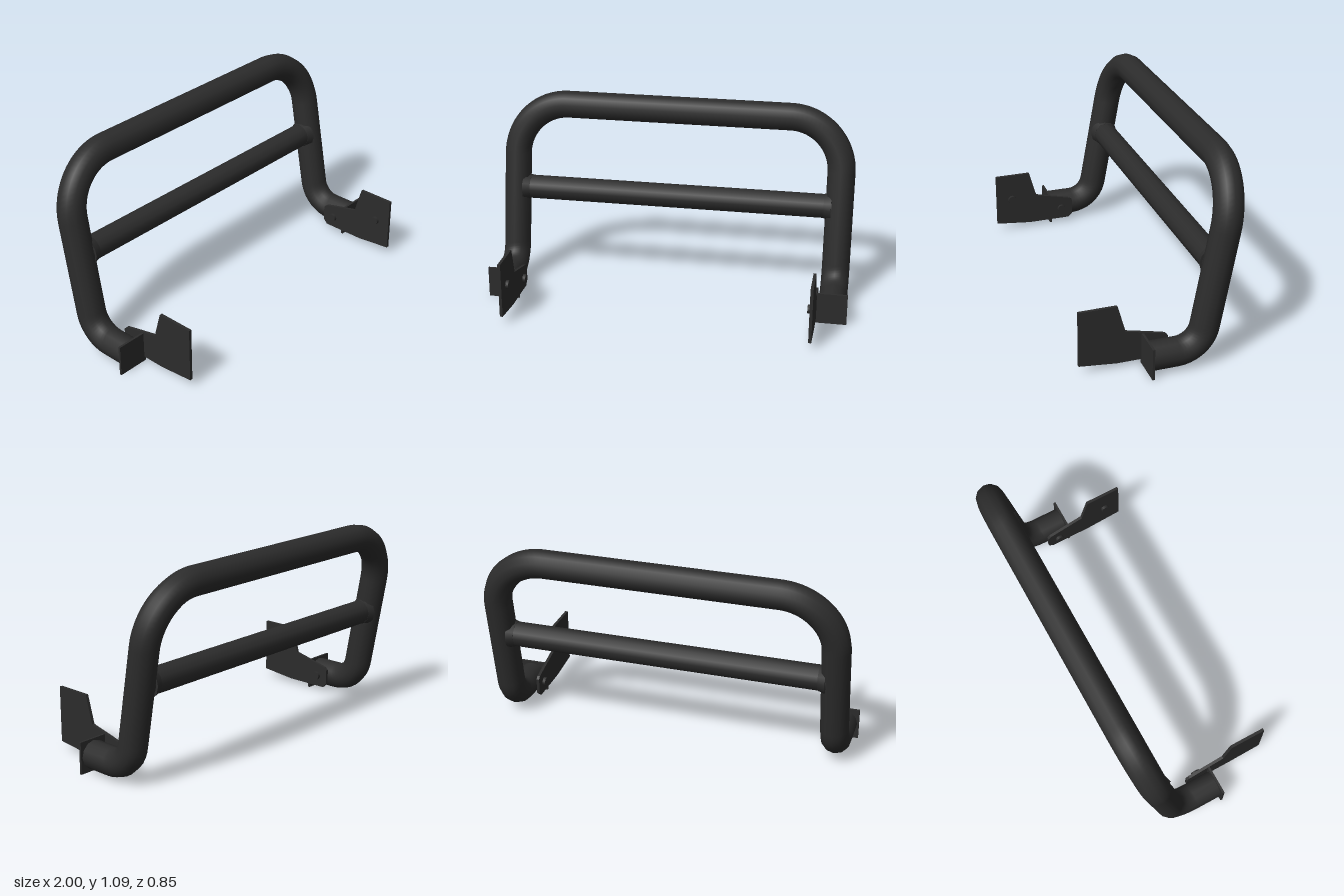
import * as THREE from 'three';

const black = new THREE.MeshStandardMaterial({ color: 0x2c2c2c });
black.name = 'satin black';

const V = (x, y, z) => new THREE.Vector3(x, y, z);

// Path through corner points, each inner corner rounded to the given radius
function filletPath(points, radii) {
  const path = new THREE.CurvePath();
  let last = points[0];
  for (let i = 1; i < points.length - 1; i++) {
    const p = points[i];
    const a = points[i - 1].clone().sub(p).normalize();
    const b = points[i + 1].clone().sub(p).normalize();
    const turn = Math.PI - a.angleTo(b);
    const t = radii[i - 1] * Math.tan(turn / 2);
    const h = t - radii[i - 1] * (4 / 3) * Math.tan(turn / 4);
    const start = p.clone().addScaledVector(a, t);
    const end = p.clone().addScaledVector(b, t);
    path.add(new THREE.LineCurve3(last, start));
    path.add(new THREE.CubicBezierCurve3(start,
      p.clone().addScaledVector(a, h), p.clone().addScaledVector(b, h), end));
    last = end;
  }
  path.add(new THREE.LineCurve3(last, points[points.length - 1]));
  return path;
}

export function createModel() {
  const group = new THREE.Group();
  const add = (name, geometry, parent = group) => {
    const mesh = new THREE.Mesh(geometry, black);
    mesh.name = name;
    parent.add(mesh);
    return mesh;
  };

  // Main hoop: feet run back, legs lean backwards, top corners are wide
  const X = 0.915, footY = 0.088, topY = 1.013, topZ = -0.35, cornerZ = -0.185;
  const hoop = filletPath([
    V(-X, footY, 0.09), V(-X, footY, cornerZ), V(-X, topY, topZ),
    V(X, topY, topZ), V(X, footY, cornerZ), V(X, footY, 0.09),
  ], [0.15, 0.29, 0.29, 0.15]);
  add('hoopTube', new THREE.TubeGeometry(hoop, 160, 0.076, 12, false));

  // Cross bar between the legs
  const barY = 0.537;
  const barZ = cornerZ + (topZ - cornerZ) * (barY - footY) / (topY - footY);
  const bar = add('crossBar', new THREE.CylinderGeometry(0.067, 0.067, 1.76, 12));
  bar.rotation.z = Math.PI / 2;
  bar.position.set(0, barY, barZ);

  // Side plate outline, drawn in (z, y)
  const outline = new THREE.Shape([
    [0.425, 0.35], [0.222, 0.35], [0.18, 0.2], [0.03, 0.165], [-0.03, 0.15],
    [-0.045, 0.135], [-0.045, 0.05], [-0.02, 0.025], [0.225, 0.025], [0.425, 0.045],
  ].map(([z, y]) => new THREE.Vector2(-z, y)));

  for (const s of [-1, 1]) {
    const mount = new THREE.Group();
    mount.name = s > 0 ? 'leftMount' : 'rightMount';
    group.add(mount);

    // Weld collar where the cross bar meets the leg
    const collar = add('weldCollar', new THREE.CylinderGeometry(0.068, 0.08, 0.04, 12), mount);
    collar.rotation.z = s * Math.PI / 2;
    collar.position.set(s * 0.852, barY, barZ);

    // Flange closing the foot of the tube
    add('footFlange', new THREE.BoxGeometry(0.173, 0.173, 0.012), mount)
      .position.set(s * 0.9135, 0.0865, 0.09);

    // Flat bracket on the inner side
    const plate = new THREE.ExtrudeGeometry(outline, { depth: 0.016, bevelEnabled: false });
    plate.translate(0, 0, -0.008);
    plate.rotateY(Math.PI / 2);
    add('sidePlate', plate, mount).position.x = s * 0.828;

    // Bolt heads on the inner face of the bracket
    for (const [y, z] of [[0.09, 0.025], [0.195, 0.332]]) {
      const bolt = add('boltHead', new THREE.CylinderGeometry(0.024, 0.024, 0.018, 12), mount);
      bolt.rotation.z = Math.PI / 2;
      bolt.position.set(s * 0.813, y, z);
    }
  }
  return group;
}
